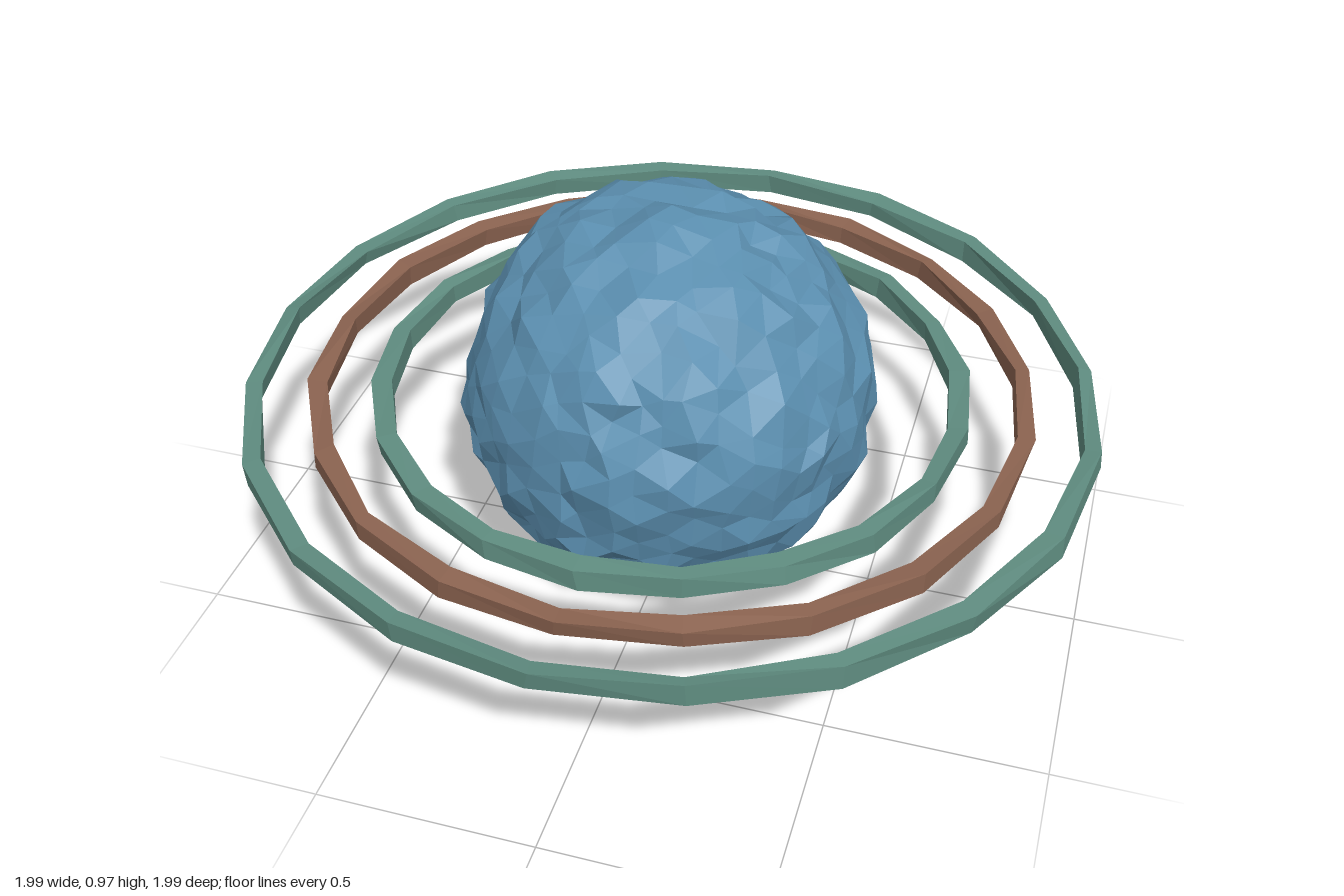
import * as THREE from 'three';
import { mergeVertices } from 'three/addons/utils/BufferGeometryUtils.js';

// Small seeded generator giving values in -1..1
function makeNoise(seed) {
  let s = seed;
  return () => {
    s = (s * 16807) % 2147483647;
    return (s / 2147483647) * 2 - 1;
  };
}

// Weld the corners, then nudge each one for a chiselled surface
function roughen(geometry, amount, seed) {
  geometry.deleteAttribute('uv');
  geometry.deleteAttribute('normal');
  const welded = mergeVertices(geometry, 1e-4);
  const noise = makeNoise(seed);
  const p = welded.attributes.position;
  for (let i = 0; i < p.count; i++) {
    p.setXYZ(i,
      p.getX(i) + noise() * amount,
      p.getY(i) + noise() * amount,
      p.getZ(i) + noise() * amount);
  }
  welded.computeVertexNormals();
  return welded;
}

export function createModel() {
  const group = new THREE.Group();
  const material = (name, color) => {
    const m = new THREE.MeshStandardMaterial({ color, flatShading: true });
    m.name = name;
    return m;
  };
  const blue = material('planet blue', 0x5b8fb0);
  const teal = material('ring teal', 0x5f8c80);
  const brown = material('ring brown', 0x8b6350);

  // Faceted rocky globe
  const planet = new THREE.Mesh(roughen(new THREE.IcosahedronGeometry(0.476, 7), 0.016, 4217), blue);
  planet.name = 'planet';
  planet.position.set(-0.008, 0.493, -0.01);
  group.add(planet);

  // Three slender bands: inner radius, outer radius, sides, material
  const rings = new THREE.Group();
  rings.name = 'rings';
  const bands = [
    ['innerRing', 0.655, 0.697, 20, teal],
    ['middleRing', 0.803, 0.842, 20, brown],
    ['outerRing', 0.956, 0.994, 20, teal],
  ];
  bands.forEach(([name, inner, outer, sides, mat], i) => {
    const h = 0.025;
    const section = [[inner, -h], [outer, -h], [outer, h], [inner, h], [inner, -h]]
      .map(([x, y]) => new THREE.Vector2(x, y));
    const ring = new THREE.Mesh(roughen(new THREE.LatheGeometry(section, sides), 0.006, 911 + i * 77), mat);
    ring.name = name;
    rings.add(ring);
  });
  rings.position.y = 0.498;
  rings.rotation.set(0.006, 0, -0.007);
  group.add(rings);

  return group;
}
